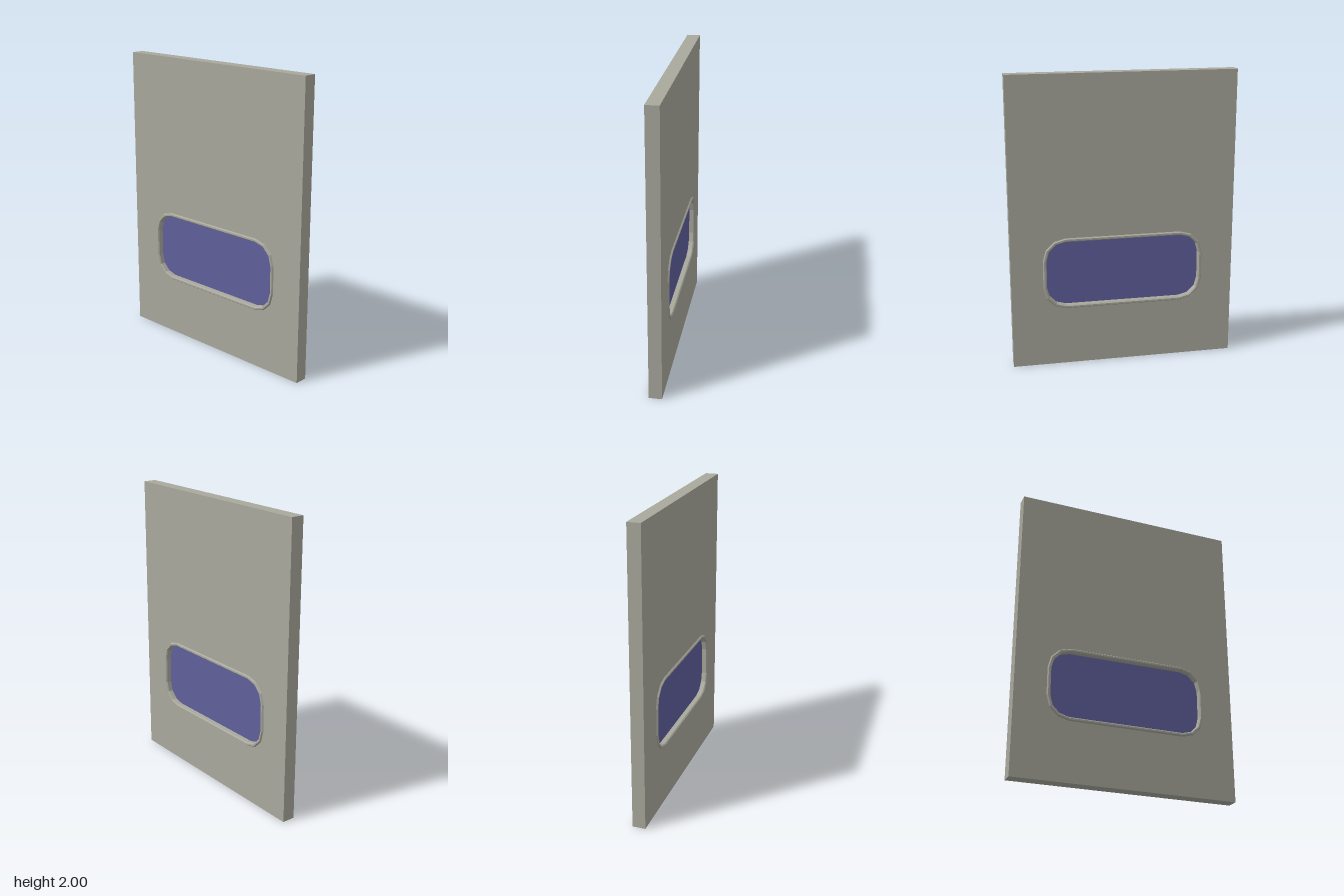
import * as THREE from 'three';

const HALF_T = 0.044, WINDOW_Y = 0.654, CORNER_Z = 0.395, CORNER_Y = 0.094;

// Rounded window outline: three facets per corner, offset by its radius
function outline(r) {
  const pts = [];
  [[1, 1], [-1, 1], [-1, -1], [1, -1]].forEach(([sx, sy], q) => {
    for (let i = 0; i <= 3; i++) {
      const a = (q + i / 3) * Math.PI / 2;
      pts.push(new THREE.Vector2(sx * CORNER_Z + r * Math.cos(a), WINDOW_Y + sy * CORNER_Y + r * Math.sin(a)));
    }
  });
  return pts;
}

// Extrude a z-y shape across the thickness, centred on x = 0
function slab(shape, half) {
  const g = new THREE.ExtrudeGeometry(shape, { depth: half * 2, bevelEnabled: false });
  g.translate(0, 0, -half);
  g.rotateY(Math.PI / 2);
  return g;
}

// Join window outlines along a [radius, x] profile
function ring(profile) {
  const pos = [], index = [], n = 16;
  for (const [r, x] of profile) for (const p of outline(r)) pos.push(x, p.y, -p.x);
  for (let k = 0; k < profile.length - 1; k++) {
    for (let i = 0; i < n; i++) {
      const j = (i + 1) % n, a = k * n + i, b = k * n + j;
      index.push(a, b, a + n, b, b + n, a + n);
    }
  }
  // Outline runs counter-clockwise seen from +x; flip so the rim faces outwards
  for (let i = 0; i < index.length; i += 3) [index[i + 1], index[i + 2]] = [index[i + 2], index[i + 1]];
  const g = new THREE.BufferGeometry();
  g.setAttribute('position', new THREE.Float32BufferAttribute(pos, 3));
  g.setIndex(index);
  const flat = g.toNonIndexed();
  flat.computeVertexNormals();
  return flat;
}

export function createModel() {
  const group = new THREE.Group();
  const grey = new THREE.MeshStandardMaterial({ color: 0xa8a89d, flatShading: true, side: THREE.DoubleSide });
  const blue = new THREE.MeshStandardMaterial({ color: 0x5f5f9c, flatShading: true });
  const add = (name, geometry, material) => {
    const mesh = new THREE.Mesh(geometry, material);
    mesh.name = name;
    group.add(mesh);
  };

  // Panel with the window opening
  const w = 0.767;
  const panel = new THREE.Shape([[-w, 0], [w, 0], [w, 2], [-w, 2]].map(([x, y]) => new THREE.Vector2(x, y)));
  panel.holes.push(new THREE.Path(outline(0.142).reverse()));
  add('panel', slab(panel, HALF_T), grey);

  // Raised, chamfered frame on both faces, lining the opening
  const side = [[0.156, HALF_T], [0.149, 0.054], [0.138, 0.054], [0.131, 0.046]];
  const profile = [...side, ...side.map(([r, x]) => [r, -x]).reverse()];
  add('windowFrame', ring(profile), grey);

  // Recessed window pane
  add('windowPane', slab(new THREE.Shape(outline(0.131)), 0.015), blue);
  return group;
}
